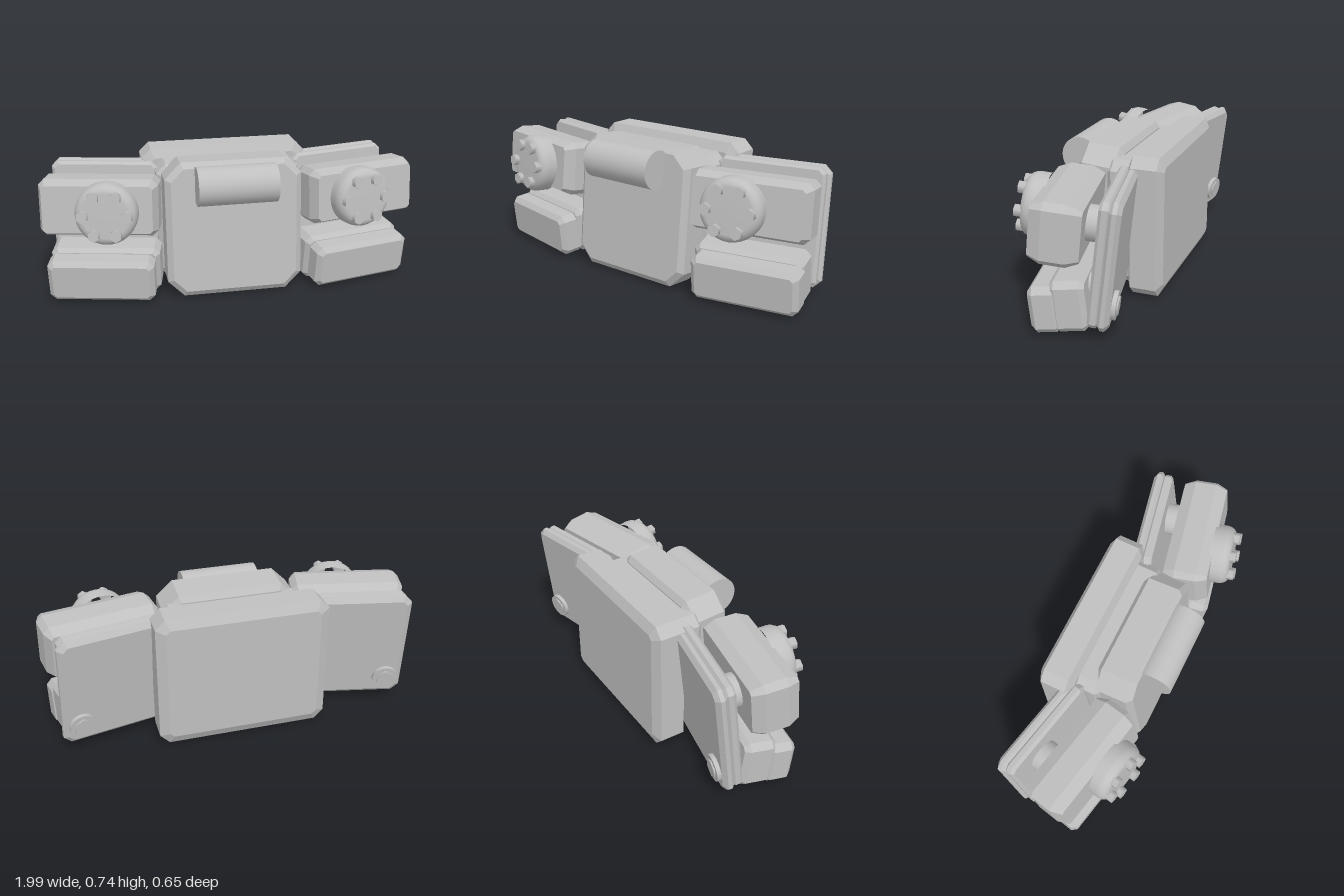
import * as THREE from 'three';

const grey = new THREE.MeshStandardMaterial({ color: 0xbfbfbf });
grey.name = 'plain grey';

const YAW = 0.21;    // side parts sweep back
const LEAN = -0.1;   // upper parts lean back

function add(parent, name, geometry, x = 0, y = 0, z = 0) {
  const mesh = new THREE.Mesh(geometry, grey);
  mesh.name = name;
  mesh.position.set(x, y, z);
  parent.add(mesh);
  return mesh;
}

// Slab with cut corners (c) and chamfered front and back rims (s wide, t deep)
function slab(w, h, d, c, s, t) {
  const x = w / 2, y = h / 2;
  const shape = new THREE.Shape([
    [x, c - y], [x, y - c], [x - c, y], [c - x, y],
    [-x, y - c], [-x, c - y], [c - x, -y], [x - c, -y],
  ].map(p => new THREE.Vector2(...p)));
  const g = new THREE.ExtrudeGeometry(shape, {
    depth: d - 2 * t, bevelEnabled: true, bevelSegments: 1,
    bevelSize: s, bevelOffset: -s, bevelThickness: t,
  });
  return g.translate(0, 0, t - d / 2);
}

// Cylinder whose axis runs along z
function disc(r, d, sides) {
  return new THREE.CylinderGeometry(r, r, d, sides).rotateX(Math.PI / 2);
}

// Group that is swept back and tilted, s = +1 left or -1 right
function tilted(parent, name, s, x, y, z, lean) {
  const g = new THREE.Group();
  g.name = name;
  g.position.set(s * x, y, z);
  g.rotation.set(lean, s * YAW, 0, 'YXZ');
  parent.add(g);
  return g;
}

function buildSide(parent, s) {
  const side = s > 0 ? 'left' : 'right';

  // Upper block with round cap and bolts
  const upper = tilted(parent, side + 'UpperArm', s, 0.683, 0.518, 0.055, LEAN);
  add(upper, 'upperBlock', slab(0.61, 0.295, 0.235, 0.03, 0.025, 0.06));
  const cx = -0.055 * s, cy = -0.005;
  const profile = [[0.157, 0], [0.158, 0.055], [0.155, 0.075], [0.146, 0.092],
    [0.132, 0.104], [0.115, 0.108], [0, 0.108]].map(p => new THREE.Vector2(...p));
  add(upper, 'roundCap', new THREE.LatheGeometry(profile, 32).rotateX(Math.PI / 2), cx, cy, 0.105);
  for (let i = 0; i < 6; i++) {
    const a = i * Math.PI / 3;
    add(upper, 'capBolt', disc(0.031, 0.07, 6),
      cx + 0.11 * Math.cos(a), cy + 0.11 * Math.sin(a), 0.205);
  }
  add(upper, 'upperPeg', disc(0.085, 0.14, 24), s * 0.1, 0.01, -0.14);

  // Lower block in two layers
  const lower = tilted(parent, side + 'LowerArm', s, 0.66, 0.16, 0.01, -LEAN);
  add(lower, 'lowerBackBlock', slab(0.57, 0.255, 0.165, 0.03, 0.02, 0.025));
  add(lower, 'lowerFrontBlock', slab(0.555, 0.232, 0.14, 0.03, 0.025, 0.025), s * 0.013, -0.012, 0.115);
  add(lower, 'lowerPeg', disc(0.06, 0.1, 24), s * 0.12, 0.04, -0.07);

  // Rear wing in two layers with a hex bolt
  const wing = tilted(parent, side + 'RearWing', s, 0.645, 0.37, -0.16, -0.115);
  add(wing, 'wingFrontLayer', slab(0.56, 0.615, 0.055, 0.03, 0.015, 0.015), 0, 0, 0.025);
  add(wing, 'wingBackLayer', slab(0.59, 0.63, 0.06, 0.04, 0.025, 0.02), 0, 0, -0.02);
  add(wing, 'wingBolt', disc(0.068, 0.03, 24), s * 0.2, -0.2, -0.056);
  add(wing, 'wingBoltHead', disc(0.05, 0.03, 6), s * 0.2, -0.2, -0.064);
}

export function createModel() {
  const model = new THREE.Group();
  model.name = 'armourPack';

  // Central stack
  add(model, 'backPlate', slab(0.9, 0.725, 0.185, 0.05, 0.05, 0.026), 0, 0.372, -0.2275);
  add(model, 'middlePlate', slab(0.77, 0.65, 0.15, 0.05, 0.025, 0.025), 0, 0.36, -0.085);
  const front = add(model, 'frontPlate', slab(0.72, 0.725, 0.215, 0.085, 0.03, 0.025), 0, 0.37, 0.072);
  front.rotation.x = -0.09;

  // Horizontal roller near the top of the front plate
  add(model, 'roller', new THREE.CylinderGeometry(0.101, 0.101, 0.412, 32).rotateZ(Math.PI / 2), 0, 0.634, 0.205);

  for (const s of [1, -1]) buildSide(model, s);
  return model;
}
